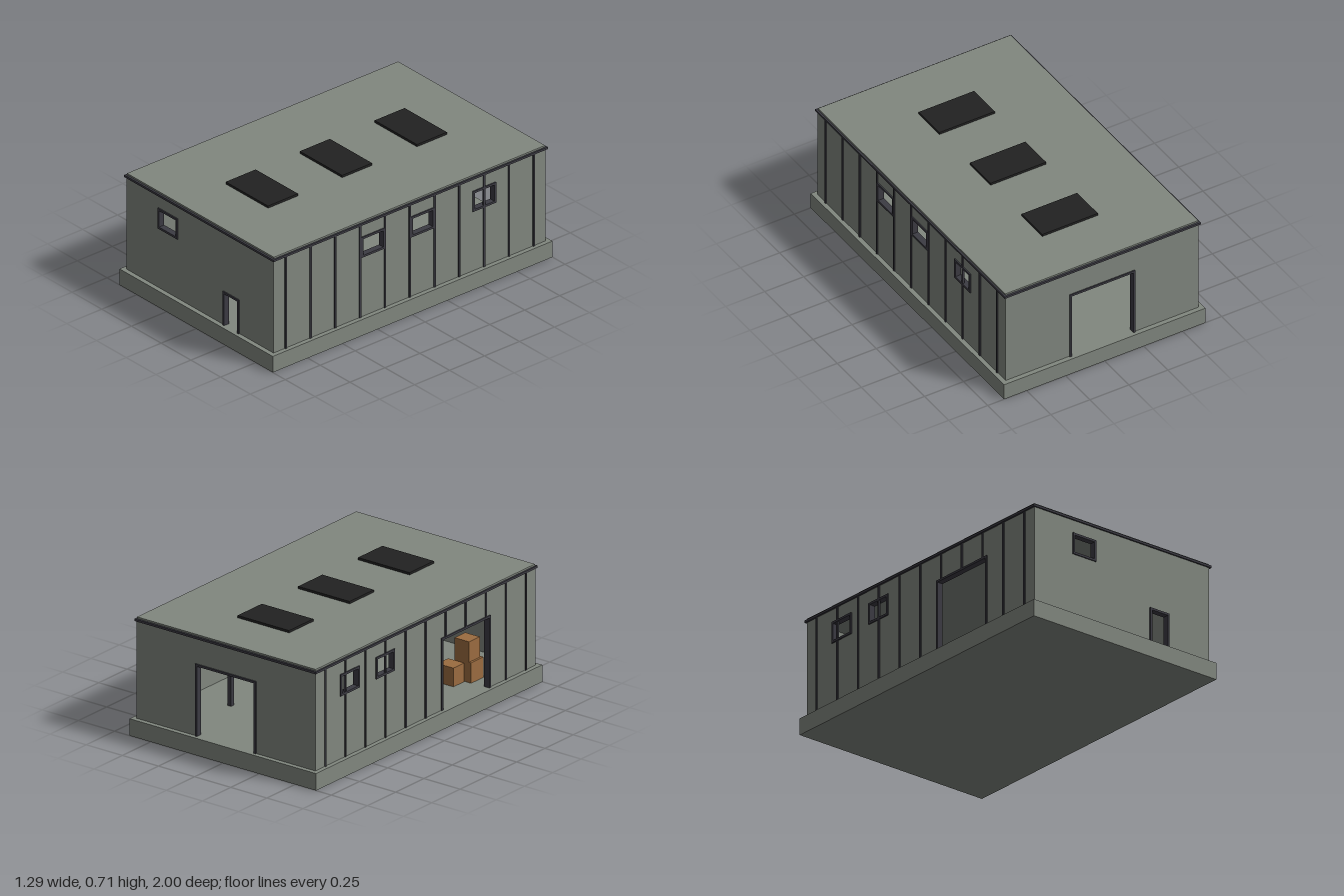
import * as THREE from 'three';

const paint = (name, color) => {
  const m = new THREE.MeshStandardMaterial({ color });
  m.name = name;
  return m;
};

export function createModel() {
  const model = new THREE.Group();
  model.name = 'warehouse';
  const concrete = paint('grey green concrete', 0x81877f);
  const steel = paint('dark steel', 0x3c3b43);
  const glass = paint('black skylight', 0x222222);
  const card = paint('brown crate', 0x9b6c40);

  const FLOOR = 0.1, EAVE = 0.674, T = 0.025, HX = 0.618, HZ = 0.972, FRAME = 0.013;

  // Box given by its low and high corners
  function box(name, mat, [x0, y0, z0], [x1, y1, z1], parent = model) {
    const mesh = new THREE.Mesh(new THREE.BoxGeometry(x1 - x0, y1 - y0, z1 - z0), mat);
    mesh.position.set((x0 + x1) / 2, (y0 + y1) / 2, (z0 + z1) / 2);
    mesh.name = name;
    parent.add(mesh);
  }

  function extrude(name, mat, shape, depth, z, parent) {
    const mesh = new THREE.Mesh(new THREE.ExtrudeGeometry(shape, { depth, bevelEnabled: false }), mat);
    mesh.position.z = z;
    mesh.name = name;
    parent.add(mesh);
  }

  const rect = (a, b, c, d) => [[a, b], [c, b], [c, d], [a, d]].map(p => new THREE.Vector2(...p));

  // Upright rectangle with window holes and door notches; windows: [u0, u1], doors: [u0, u1, top]
  function panel(u0, u1, top, windows, doors) {
    const s = new THREE.Shape();
    s.moveTo(u0, FLOOR);
    for (const [a, b, h] of doors) {
      s.lineTo(a, FLOOR);
      s.lineTo(a, h);
      s.lineTo(b, h);
      s.lineTo(b, FLOOR);
    }
    s.lineTo(u1, FLOOR);
    s.lineTo(u1, top);
    s.lineTo(u0, top);
    s.closePath();
    for (const [a, b] of windows) s.holes.push(new THREE.Path(rect(a, SILL, b, HEAD).reverse()));
    return s;
  }
  const SILL = 0.47, HEAD = 0.597;

  // One wall with frames; local +z points out of the building
  function wall(name, angle, half, dist, windows, doors, ribs) {
    const g = new THREE.Group();
    g.name = name;
    g.rotation.y = angle;
    model.add(g);
    extrude(name + 'Panel', concrete, panel(-half, half, EAVE, windows, doors), T, dist - T, g);
    for (const [a, b] of windows) {
      const s = new THREE.Shape(rect(a, SILL, b, HEAD));
      s.holes.push(new THREE.Path(rect(a + FRAME, SILL + FRAME, b - FRAME, HEAD - FRAME).reverse()));
      extrude('windowFrame', steel, s, T + 0.012, dist - T - 0.005, g);
    }
    for (const [a, b, h] of doors) {
      const s = panel(a, b, h, [], [[a + FRAME, b - FRAME, h - FRAME]]);
      extrude('doorFrame', steel, s, T + 0.012, dist - T - 0.005, g);
    }
    // Cladding ribs, stopped above the doorways
    for (let i = -5; ribs && i <= 5; i++) {
      const u = i * 0.1773;
      const door = doors.find(([a, b]) => u > a && u < b);
      box('wallRib', steel, [u - 0.006, door ? door[2] : FLOOR, dist - 0.005],
        [u + 0.006, EAVE, dist + 0.006], g);
    }
  }

  wall('frontWall', 0, HX, HZ, [[-0.35, -0.185]], [[0.197, 0.333, 0.31]], false);
  wall('backWall', Math.PI, HX, HZ, [], [[-0.21, 0.21, 0.525]], false);
  wall('leftWall', Math.PI / 2, HZ - T, HX,
    [[-0.347, -0.18], [0.005, 0.174], [0.45, 0.615]], [], true);
  wall('rightWall', -Math.PI / 2, HZ - T, HX,
    [[-0.755, -0.588], [-0.44, -0.275]], [[0.138, 0.57, 0.525]], true);

  // Foundation, eave trim and roof
  box('foundation', concrete, [-0.645, 0, -1], [0.645, FLOOR, 1]);
  box('eaveTrim', steel, [-0.628, 0.673, -0.981], [0.628, 0.686, 0.981]);
  box('roof', concrete, [-0.618, 0.671, -0.969], [0.618, 0.696, 0.969]);
  for (const z of [-0.535, 0, 0.53]) {
    box('skylight', glass, [-0.178, 0.69, z - 0.107], [0.178, 0.71, z + 0.107]);
  }

  // Stored crates and a post on the floor
  box('lowCrate', card, [-0.46, FLOOR, 0.45], [-0.35, 0.21, 0.545]);
  box('baseCrate', card, [-0.504, FLOOR, 0.55], [-0.39, 0.22, 0.66]);
  box('topCrate', card, [-0.49, 0.22, 0.55], [-0.39, 0.34, 0.645]);
  box('post', steel, [0.32, FLOOR, -0.52], [0.345, 0.3, -0.495]);

  return model;
}
